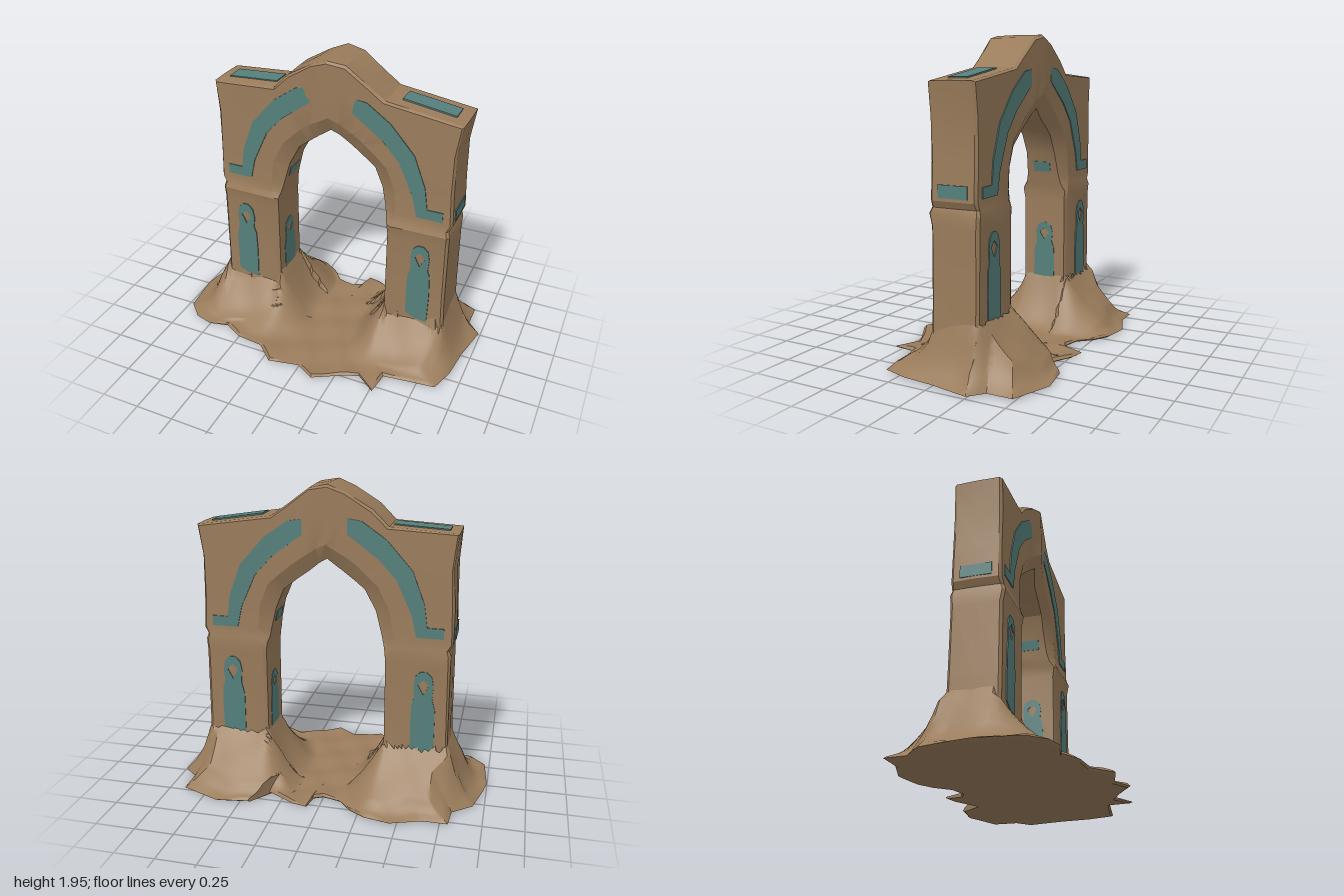
import * as THREE from 'three';
import { toCreasedNormals } from 'three/addons/utils/BufferGeometryUtils.js';

const stone = new THREE.MeshStandardMaterial({ color: 0x9a7c5b });
stone.name = 'sandstone';
const paint = new THREE.MeshStandardMaterial({ color: 0x557f7b });
paint.name = 'faded teal paint';

// repeatable noise, 0..1
const hash = (a, b) => { const s = Math.sin(a * 127.1 + b * 311.7) * 43758.5453; return s - Math.floor(s); };

const ZF = 0.075, ZB = -0.228;

// Skin over rows of points
function gridGeometry(rows, closed, crease) {
  const n = rows[0].length, index = [];
  for (let i = 0; i < rows.length - 1; i++) {
    for (let j = 0; j < (closed ? n : n - 1); j++) {
      const a = i * n + j, b = i * n + (j + 1) % n, c = b + n, d = a + n;
      index.push(a, d, c, a, c, b);
    }
  }
  const g = new THREE.BufferGeometry();
  g.setAttribute('position', new THREE.Float32BufferAttribute(rows.flat(2), 3));
  g.setIndex(index);
  return toCreasedNormals(g, crease);
}

// Arch stations: inner x,y, outer x,y, inner chamfer, extra depth
const stations = [
  [-0.35, 0.15, -0.76, 0.15, 0.012, 0.008], [-0.35, 0.45, -0.755, 0.45, 0.012, 0.008],
  [-0.35, 0.88, -0.75, 0.88, 0.012, 0.008], [-0.345, 0.95, -0.75, 0.955, 0.015, 0.022],
  [-0.335, 0.99, -0.74, 0.99, 0.03, 0.008], [-0.32, 1.05, -0.765, 1.03, 0.04, 0.002],
  [-0.28, 1.2, -0.76, 1.25, 0.05, 0], [-0.21, 1.33, -0.75, 1.5, 0.05, 0],
  [-0.15, 1.38, -0.77, 1.7, 0.05, 0], [-0.11, 1.41, -0.36, 1.725, 0.05, 0],
  [-0.07, 1.44, -0.26, 1.82, 0.05, 0], [-0.03, 1.47, -0.1, 1.92, 0.05, 0.012],
  [0.02, 1.51, 0.01, 1.96, 0.05, 0.032], [0.07, 1.48, 0.12, 1.94, 0.05, 0.015],
  [0.13, 1.43, 0.27, 1.83, 0.05, 0], [0.2, 1.38, 0.36, 1.765, 0.05, 0],
  [0.25, 1.34, 0.835, 1.69, 0.05, 0], [0.3, 1.3, 0.81, 1.5, 0.05, 0],
  [0.35, 1.18, 0.81, 1.25, 0.05, 0], [0.38, 1.05, 0.82, 1.03, 0.04, 0.002],
  [0.39, 0.99, 0.8, 0.99, 0.03, 0.008], [0.405, 0.95, 0.81, 0.955, 0.015, 0.022],
  [0.41, 0.88, 0.805, 0.88, 0.012, 0.008], [0.41, 0.45, 0.81, 0.45, 0.012, 0.008],
  [0.41, 0.15, 0.82, 0.15, 0.012, 0.008],
];

function archGeometry() {
  const rows = stations.map(([xi, yi, xo, yo, c, e], i) => {
    const len = Math.hypot(xo - xi, yo - yi), a = c * 1.9, b = 0.018;
    const ux = (xo - xi) / len, uy = (yo - yi) / len, zf = ZF + e, zb = ZB - e * 0.4;
    const worn = (j) => hash(i, j) * 0.004;
    const section = [
      [0, zf - c], [a, zf - worn(1)], [(a + len) / 2, zf - worn(2)], [len - b, zf - worn(3)],
      [len - worn(4) * 2, zf - b], [len - worn(5), (zf + zb) / 2], [len - worn(6) * 2, zb + b],
      [len - b, zb + worn(7)], [(a + len) / 2, zb + worn(8)], [a, zb + worn(9)], [0, zb + c],
    ];
    return section.map(([s, z]) => [xi + ux * s, yi + uy * s, z]);
  });
  return gridGeometry(rows, true, 0.45);
}

// Uneven ground outline seen from above: x, z
const outline = [
  [-1, 0], [-0.97, 0.27], [-0.87, 0.37], [-0.76, 0.4], [-0.63, 0.37], [-0.5, 0.44], [-0.32, 0.46],
  [-0.2, 0.57], [0, 0.53], [0.12, 0.6], [0.3, 0.5], [0.4, 0.46], [0.52, 0.55], [0.54, 0.4],
  [0.7, 0.38], [0.87, 0.36], [0.92, 0.2], [0.94, 0], [0.99, -0.25], [0.9, -0.33], [0.9, -0.49],
  [0.65, -0.59], [0.45, -0.56], [0.35, -0.42], [0.17, -0.52], [0.08, -0.54], [0.06, -0.43], [0, -0.4],
  [-0.12, -0.43], [-0.2, -0.52], [-0.3, -0.58], [-0.46, -0.61], [-0.65, -0.54], [-0.8, -0.54],
  [-0.81, -0.4], [-0.93, -0.3], [-0.98, -0.1],
];

// Ground rises in a concave, lumpy skirt around each pillar; t runs from centre to rim
function groundHeight(x, z, t) {
  let skirt = 0;
  for (const [x0, x1] of [[-0.74, -0.37], [0.43, 0.79]]) {
    const back = z < ZB;
    const dx = Math.max(x0 - x, 0, x - x1) / 0.26;
    const dz = Math.max(ZB + 0.01 - z, 0, z - ZF + 0.01) / (back ? 0.38 : 0.36);
    const d = Math.min(1, Math.hypot(dx, dz));
    // the skirt stands higher beside the pillar than before it
    const side = dx / (dx + dz + 0.001);
    const front = back ? 0.34 : 0.26;
    const peak = dz > 0 ? front + (0.38 - front) * side : 0.38;
    skirt = Math.max(skirt, peak * Math.pow(1 - d, back ? 1.3 : 1.75));
  }
  skirt *= Math.min(1, (1 - t) * 6);
  const lump = Math.sin(x * 17 + z * 5) * Math.sin(z * 19 - x * 6);
  return 0.026 + skirt + lump * 0.008;
}

function groundGeometry(under) {
  const rows = [], rings = 36, steps = 5;
  for (let k = 0; k <= outline.length * steps; k++) {
    const i = Math.floor(k / steps), f = (k % steps) / steps;
    const p = outline[i % outline.length], q = outline[(i + 1) % outline.length];
    const ex = p[0] + (q[0] - p[0]) * f, ez = p[1] + (q[1] - p[1]) * f;
    const row = [];
    for (let r = 0; r <= rings; r++) {
      const t = r / rings, x = ex * t, z = ez * t;
      const y = r === rings ? 0.016 : under ? 0.006 : groundHeight(x, z, t);
      row.push([x, y, z]);
    }
    rows.push(row);
  }
  if (!under) rows.reverse();
  return gridGeometry(rows, false, 0.5);
}

const shapeOf = (pts) => new THREE.Shape(pts.map(([x, y]) => new THREE.Vector2(x, y)));
const plate = (shape) => new THREE.ExtrudeGeometry(shape, { depth: 0.009, bevelEnabled: false });

// Robed figure mark with a diamond-shaped face opening
function figureShape() {
  const s = shapeOf([[-0.075, 0.32], [-0.02, 0.29], [0.07, 0.28], [0.075, 0.5], [0.07, 0.64], [0.055, 0.68],
    [0.062, 0.76], [0.05, 0.82], [0.02, 0.85], [-0.02, 0.85], [-0.05, 0.82], [-0.062, 0.76], [-0.055, 0.68], [-0.075, 0.6]]);
  s.holes.push(new THREE.Path([[0, 0.8], [-0.033, 0.765], [0, 0.7], [0.035, 0.765]].map(([x, y]) => new THREE.Vector2(x, y))));
  return s;
}

// Curved band with a foot, for the -x half around the arch axis
const band = [[-0.73, 1.065], [-0.565, 1.065], [-0.535, 1.2], [-0.44, 1.41], [-0.33, 1.53], [-0.14, 1.67], [-0.14, 1.765],
  [-0.23, 1.75], [-0.38, 1.645], [-0.535, 1.47], [-0.61, 1.27], [-0.63, 1.13], [-0.73, 1.13]];

export function createModel() {
  const model = new THREE.Group();
  model.name = 'ruinedArch';
  const add = (name, geo, mat, x = 0, y = 0, z = 0, ry = 0, rz = 0) => {
    const m = new THREE.Mesh(geo, mat);
    m.name = name;
    m.position.set(x, y, z);
    m.rotation.set(0, ry, rz);
    model.add(m);
  };

  add('archBody', archGeometry(), stone);
  add('groundTop', groundGeometry(false), stone);
  add('groundUnderside', groundGeometry(true), stone);

  // Painted marks on both broad faces
  const figure = plate(figureShape());
  const leftBand = plate(shapeOf(band));
  const rightBand = plate(shapeOf(band.map(([x, y]) => [-x, y - 0.015]).reverse()));
  for (const [bandZ, figureZ] of [[ZF - 0.005, ZF + 0.003], [ZB - 0.004, ZB - 0.007]]) {
    add('pillarFigure', figure, paint, -0.59, 0, figureZ);
    add('pillarFigure', figure, paint, 0.635, 0, figureZ);
    add('archBand', leftBand, paint, 0.03, 0, bandZ);
    add('archBand', rightBand, paint, 0.025, 0, bandZ);
  }

  // Marks on the inner faces, outer sides and shoulder tops
  const innerFigure = figure.clone().scale(1, 0.78, 1);
  const innerMark = new THREE.BoxGeometry(0.009, 0.07, 0.12);
  const sideMark = new THREE.BoxGeometry(0.009, 0.075, 0.19);
  const topMark = new THREE.BoxGeometry(0.33, 0.009, 0.12);
  add('innerFigure', innerFigure, paint, -0.356, 0.06, -0.075, Math.PI / 2);
  add('innerFigure', innerFigure, paint, 0.416, 0.06, -0.075, -Math.PI / 2);
  add('innerMark', innerMark, paint, -0.306, 1.11, -0.075, 0, -0.26);
  add('innerMark', innerMark, paint, 0.367, 1.11, -0.075, 0, 0.23);
  add('sideMark', sideMark, paint, -0.762, 1.085, -0.075);
  add('sideMark', sideMark, paint, 0.816, 1.085, -0.075);
  add('topMark', topMark, paint, -0.54, 1.714, -0.08, 0, 0.06);
  add('topMark', topMark, paint, 0.6, 1.729, -0.08, 0, -0.157);
  return model;
}
